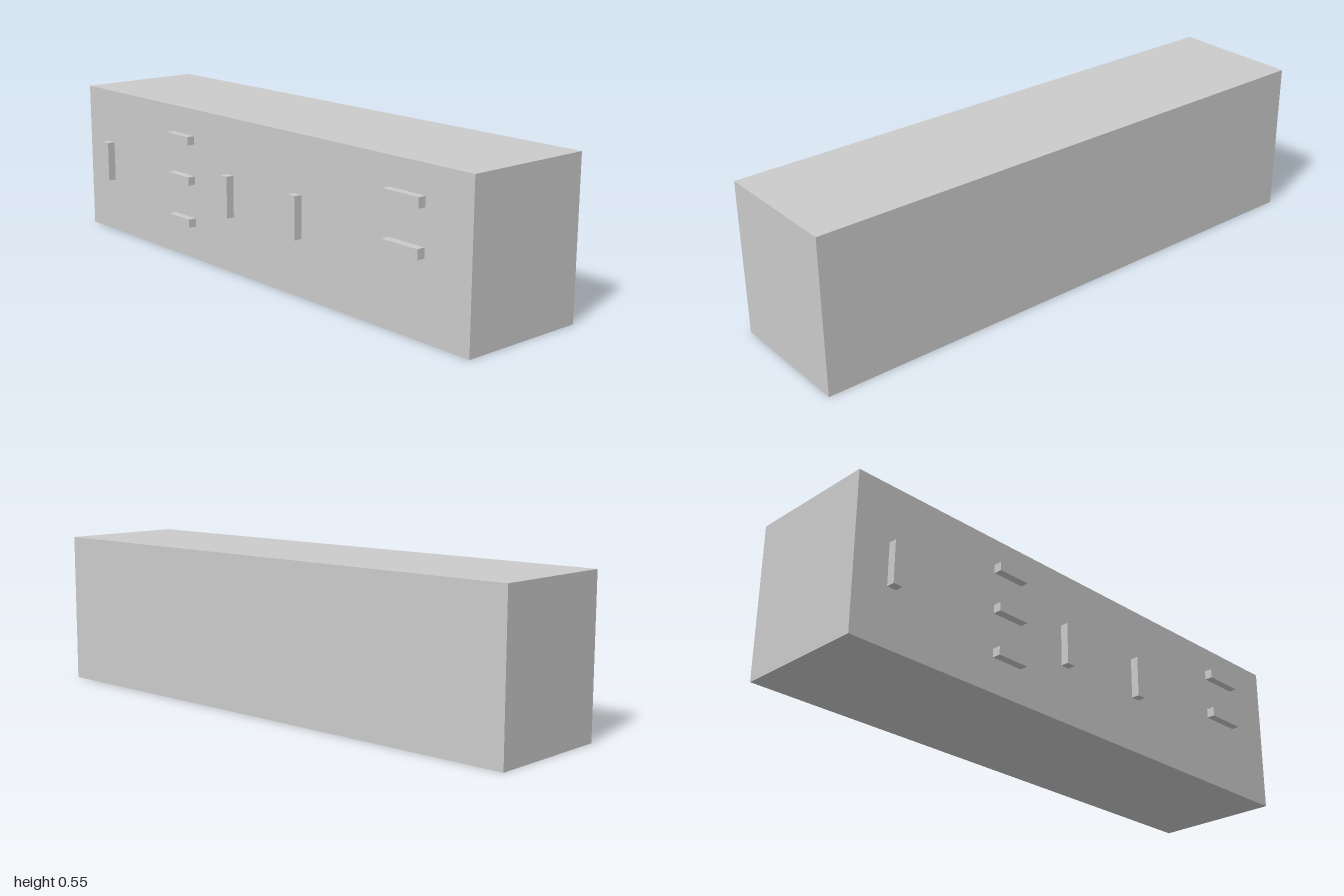
import * as THREE from 'three';

const material = new THREE.MeshStandardMaterial({ color: 0xcccccc });
const FRONT = 0.22, BACK = -0.249, HANDLE_FRONT = 0.249;

// Box given by its extents on each axis
function block(name, [x0, x1], [y0, y1], [z0, z1]) {
  const mesh = new THREE.Mesh(new THREE.BoxGeometry(x1 - x0, y1 - y0, z1 - z0), material);
  mesh.position.set((x0 + x1) / 2, (y0 + y1) / 2, (z0 + z1) / 2);
  mesh.name = name;
  return mesh;
}

export function createModel() {
  const group = new THREE.Group();
  group.name = 'cabinet';
  const handleDepth = [FRONT, HANDLE_FRONT];

  // Cabinet body
  group.add(block('cabinetBody', [-1, 1], [0, 0.545], [BACK, FRONT]));

  // Upright door handles
  [-0.855, -0.112, 0.246].forEach((x, i) => {
    group.add(block(`doorHandle${i + 1}`, [x - 0.017, x + 0.017], [0.2, 0.347], handleDepth));
  });

  // Narrow drawer handles
  [0.136, 0.29, 0.435].forEach((y, i) => {
    group.add(block(`narrowDrawerHandle${i + 1}`, [-0.44, -0.318], [y - 0.015, y + 0.015], handleDepth));
  });

  // Wide drawer handles
  [0.276, 0.431].forEach((y, i) => {
    group.add(block(`wideDrawerHandle${i + 1}`, [0.662, 0.813], [y - 0.017, y + 0.017], handleDepth));
  });

  return group;
}
